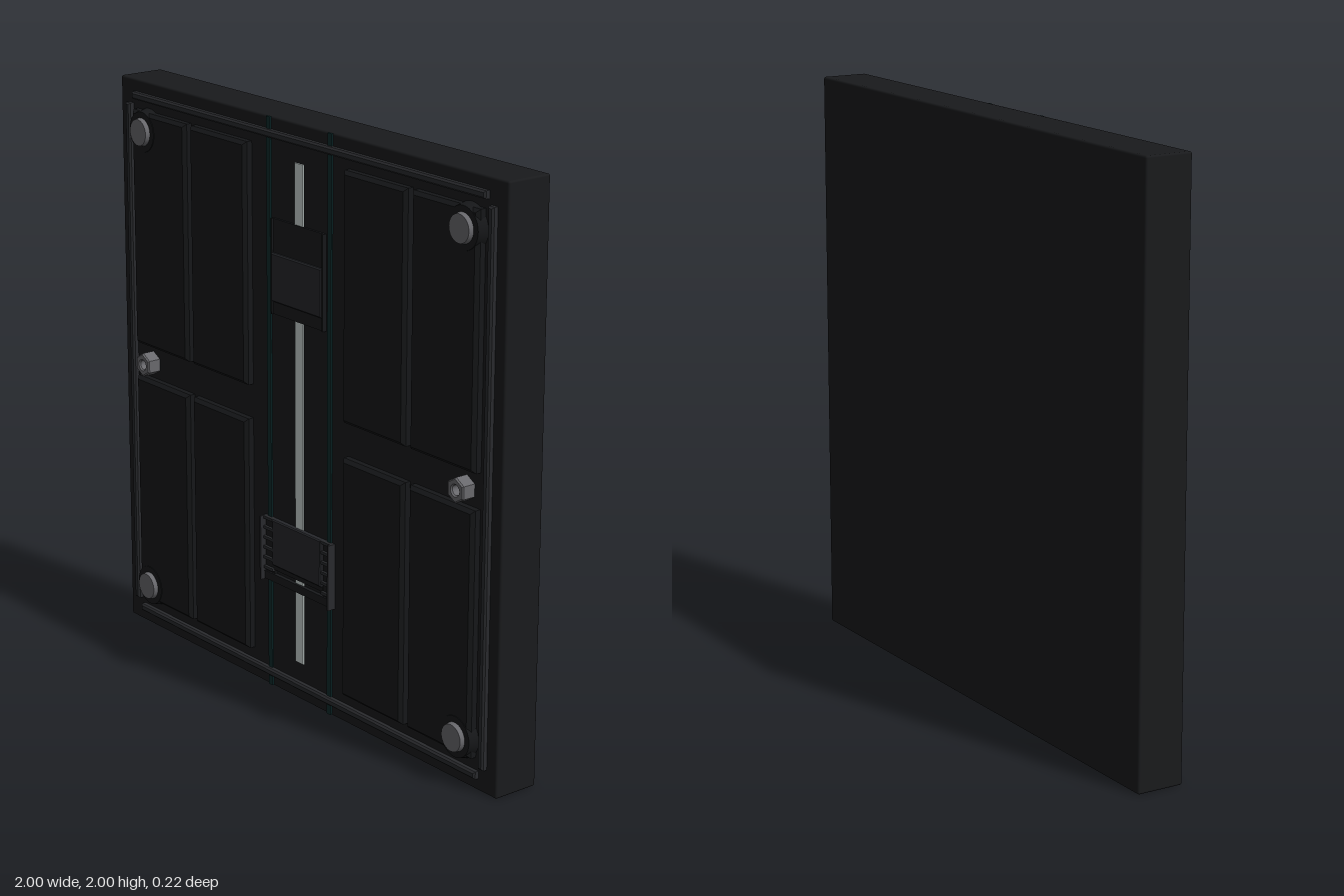
import * as THREE from 'three';
import { RoundedBoxGeometry } from 'three/addons/geometries/RoundedBoxGeometry.js';

const FACE = 0.058; // front surface of the slab
const mat = (color) => new THREE.MeshStandardMaterial({ color });
const M = {
  body: mat(0x191a1c), panel: mat(0x161719), rail: mat(0x292a2d), block: mat(0x26272b),
  metal: mat(0x68686c), teal: mat(0x0c2a2b), light: mat(0xc8d2d0),
};

// bevelled plate rising from the face, centred on its own x and y
function plateGeometry(w, h, d, bevel) {
  const a = w / 2 - bevel, b = h / 2 - bevel;
  const s = new THREE.Shape([[-a, -b], [a, -b], [a, b], [-a, b]].map(p => new THREE.Vector2(...p)));
  const g = new THREE.ExtrudeGeometry(s, {
    depth: d - bevel, bevelEnabled: true, bevelSize: bevel, bevelThickness: bevel, bevelSegments: 1,
  });
  return g;
}

export function createModel() {
  const root = new THREE.Group();
  root.name = 'wallPanel';
  function add(parent, name, geometry, material, x, y, z) {
    const m = new THREE.Mesh(geometry, material);
    m.name = name;
    m.position.set(x, y, z);
    parent.add(m);
    return m;
  }
  const box = (parent, name, w, h, z0, z1, material, x, y) =>
    add(parent, name, new THREE.BoxGeometry(w, h, z1 - z0), material, x, y, (z0 + z1) / 2);

  // main slab
  add(root, 'slab', new RoundedBoxGeometry(2, 2, 0.166, 2, 0.007), M.body, 0, 1, FACE - 0.083);

  // raised bevelled panels, eight in all
  for (const sx of [-1, 1]) for (const px of [0.41, 0.745]) for (const py of [0.5275, 1.4825])
    add(root, 'raisedPanel', plateGeometry(0.31, 0.835, 0.032, 0.012), M.panel, sx * px, py, FACE);

  // border rails
  for (const s of [-1, 1]) {
    add(root, 'sideRail', plateGeometry(0.026, 1.83, 0.02, 0.006), M.rail, s * 0.94, 1, FACE);
    add(root, 'endRail', plateGeometry(1.83, 0.026, 0.02, 0.006), M.rail, 0, 1 + s * 0.945, FACE);
  }

  // corner bolts on washers
  const washer = new THREE.CylinderGeometry(0.07, 0.078, 0.034, 32).rotateX(Math.PI / 2);
  const bolt = new THREE.CylinderGeometry(0.046, 0.05, 0.02, 32).rotateX(Math.PI / 2);
  for (const sx of [-1, 1]) for (const sy of [-1, 1]) {
    const g = new THREE.Group();
    g.name = 'cornerBolt';
    g.position.set(sx * 0.835, 1 + sy * 0.832, 0);
    root.add(g);
    add(g, 'washer', washer, M.panel, 0, 0, FACE + 0.017);
    add(g, 'boltHead', bolt, M.metal, 0, 0, 0.098);
  }

  // hexagonal nuts with a bore
  const hex = new THREE.Shape();
  for (let i = 0; i < 6; i++) {
    const a = Math.PI / 6 + i * Math.PI / 3;
    hex[i ? 'lineTo' : 'moveTo'](0.038 * Math.cos(a), 0.038 * Math.sin(a));
  }
  hex.holes.push(new THREE.Path().absarc(0, 0, 0.021, 0, Math.PI * 2, true));
  const nut = new THREE.ExtrudeGeometry(hex, {
    depth: 0.044, bevelEnabled: true, bevelSize: 0.004, bevelThickness: 0.005, bevelSegments: 1, curveSegments: 16,
  });
  for (const s of [-1, 1]) add(root, 'hexNut', nut, M.metal, s * 0.835, 1, FACE);

  // centre track: coloured lines and light strip
  for (const s of [-1, 1]) box(root, 'trackLine', 0.02, 1.996, FACE - 0.004, FACE + 0.006, M.teal, s * 0.16, 1);
  box(root, 'lightStrip', 0.042, 1.735, FACE - 0.004, FACE + 0.005, M.light, 0, 1.0025);

  // upper carriage
  const upper = new THREE.Group();
  upper.name = 'upperCarriage';
  root.add(upper);
  box(upper, 'carriagePlate', 0.265, 0.325, FACE, 0.066, M.body, 0, 1.5025);
  add(upper, 'carriageBlock', plateGeometry(0.265, 0.165, 0.018, 0.004), M.block, 0, 1.4675, FACE);
  for (const s of [-1, 1]) box(upper, 'carriageEdge', 0.007, 0.325, FACE, 0.073, M.panel, s * 0.134, 1.5025);

  // lower clamp with ribbed sides
  const lower = new THREE.Group();
  lower.name = 'lowerClamp';
  root.add(lower);
  add(lower, 'clampBlock', plateGeometry(0.262, 0.165, 0.02, 0.004), M.block, 0, 0.5375, FACE);
  box(lower, 'clampStep', 0.262, 0.02, FACE, 0.068, M.panel, 0, 0.446);
  box(lower, 'clampBar', 0.36, 0.028, FACE, 0.072, M.body, 0, 0.407);
  for (const s of [-1, 1]) {
    box(lower, 'sidePlate', 0.007, 0.23, FACE, 0.088, M.rail, s * 0.183, 0.505);
    box(lower, 'sideWeb', 0.05, 0.2, FACE, 0.066, M.panel, s * 0.155, 0.52);
    for (let i = 0; i < 6; i++)
      box(lower, 'rib', 0.05, 0.01, FACE, 0.076, M.rail, s * 0.156, 0.435 + i * 0.036);
  }
  return root;
}
